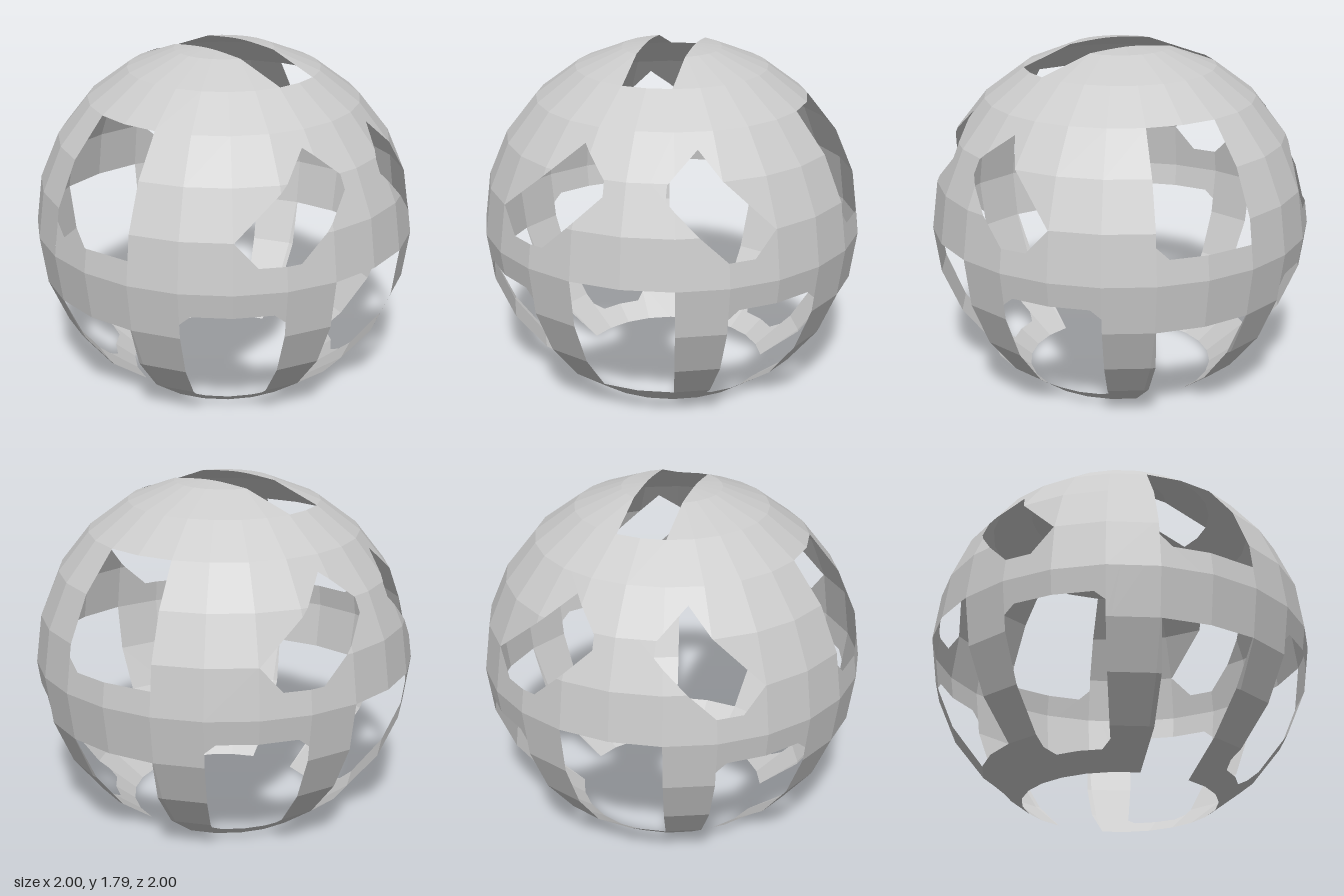
import * as THREE from 'three';

const COLS = 24, CY = 0.84, RY = 0.97, DEG = Math.PI / 180;
const ringY = lat => CY + RY * Math.sin(lat * DEG);
const point = (az, lat) => new THREE.Vector3(
  Math.cos(lat * DEG) * Math.sin(az * DEG), ringY(lat), Math.cos(lat * DEG) * Math.cos(az * DEG));

// Half width and height where a ring crosses the meridians 15 degrees to each side
const edge = lat => [Math.sin(15 * DEG) * Math.cos(lat * DEG), ringY(lat)];
// Symmetric outline from [halfWidth, y] pairs listed top to bottom, counter-clockwise
const mirrored = half => [...half.map(([w, y]) => [-w, y]), ...half.slice().reverse()];

// Opening outlines, [across, height], all convex and counter-clockwise
const lowerFront = mirrored([0, -15, -30, -45].map(edge));
const lowerSide = mirrored([...[-15, -30, -45, -60].map(edge), [0.11, -0.1]]);
const lowerCorner = mirrored([[0.2, 0.715], [0.253, 0.67], ...[-15, -30, -45].map(edge),
  [0.167, 0.11], [0.115, 0.078]]);
const upperSide = [...[45, 30, 15].map(l => [-edge(l)[0], edge(l)[1]]), [-0.253, 1.025], [-0.19, 0.963],
  [0.2545, 0.963], ...[15, 30, 45].map(edge)];
const slantA = [[-0.68, 1.09], [-0.6, 0.963], [-0.42, 0.963], [-0.11, 1.25], [-0.11, 1.32], [-0.24, 1.455]];
const slantB = [[0.19, 1.25], [0.49, 0.963], [0.6, 0.963], [0.68, 1.09], [0.3, 1.455], [0.19, 1.32]];
const topSlot = mirrored([[0.125, 2], [0.125, ringY(60)]]);

// Every opening repeats after half a turn
const openings = [];
for (const turn of [0, 180]) {
  for (const outline of [lowerFront, slantA, slantB, topSlot]) openings.push({ az: turn, outline });
  for (const outline of [lowerSide, upperSide]) openings.push({ az: turn + 90, outline });
  for (const az of [45, 135]) openings.push({ az: turn + az, outline: lowerCorner });
}

// Part of a flat polygon where dist(point) >= 0
function clip(poly, dist) {
  const out = [];
  poly.forEach((a, i) => {
    const b = poly[(i + 1) % poly.length], da = dist(a), db = dist(b);
    if (da >= -1e-6) out.push(a);
    if ((da > 1e-6 && db < -1e-6) || (da < -1e-6 && db > 1e-6)) out.push(a.clone().lerp(b, da / (da - db)));
  });
  return out;
}

function area(poly) {
  const sum = new THREE.Vector3();
  for (let i = 2; i < poly.length; i++) {
    sum.add(poly[i - 1].clone().sub(poly[0]).cross(poly[i].clone().sub(poly[0])));
  }
  return sum.length() / 2;
}

// Remove one opening from a polygon, returning the convex pieces left over
function cut(poly, { az, outline }) {
  const s = Math.sin(az * DEG), c = Math.cos(az * DEG);
  const facing = poly.reduce((t, p) => t + p.x * s + p.z * c, 0);
  if (facing <= 0) return [poly];
  const pieces = [];
  let rest = poly;
  for (let i = 0; i < outline.length && rest.length > 2; i++) {
    const [u0, v0] = outline[i], [u1, v1] = outline[(i + 1) % outline.length];
    const inside = p => (u1 - u0) * (p.y - v0) - (v1 - v0) * (p.x * c - p.z * s - u0);
    const kept = clip(rest, p => -inside(p));
    if (kept.length > 2 && area(kept) > 1e-5) pieces.push(kept);
    rest = clip(rest, inside);
  }
  return rest.length > 2 && area(rest) > 1e-6 ? pieces : [poly];
}

export function createModel() {
  const group = new THREE.Group();
  group.name = 'piercedSphere';
  const positions = [];
  const step = 360 / COLS;

  // Faceted sphere, open below the lowest ring, with each facet trimmed by the openings
  for (let lat = -60; lat < 90; lat += 15) {
    for (let col = 0; col < COLS; col++) {
      const a = col * step, b = a + step;
      const facet = [point(a, lat), point(b, lat), point(b, lat + 15)];
      if (lat < 75) facet.push(point(a, lat + 15));
      let pieces = [facet];
      for (const opening of openings) pieces = pieces.flatMap(p => cut(p, opening));
      for (const p of pieces) {
        for (let i = 2; i < p.length; i++) {
          for (const v of [p[0], p[i - 1], p[i]]) positions.push(v.x, v.y, v.z);
        }
      }
    }
  }

  const geometry = new THREE.BufferGeometry();
  geometry.setAttribute('position', new THREE.Float32BufferAttribute(positions, 3));
  geometry.computeVertexNormals();
  const shell = new THREE.Mesh(geometry, new THREE.MeshStandardMaterial({
    color: 0xcccccc, flatShading: true, side: THREE.DoubleSide }));
  shell.name = 'shell';
  group.add(shell);
  return group;
}
